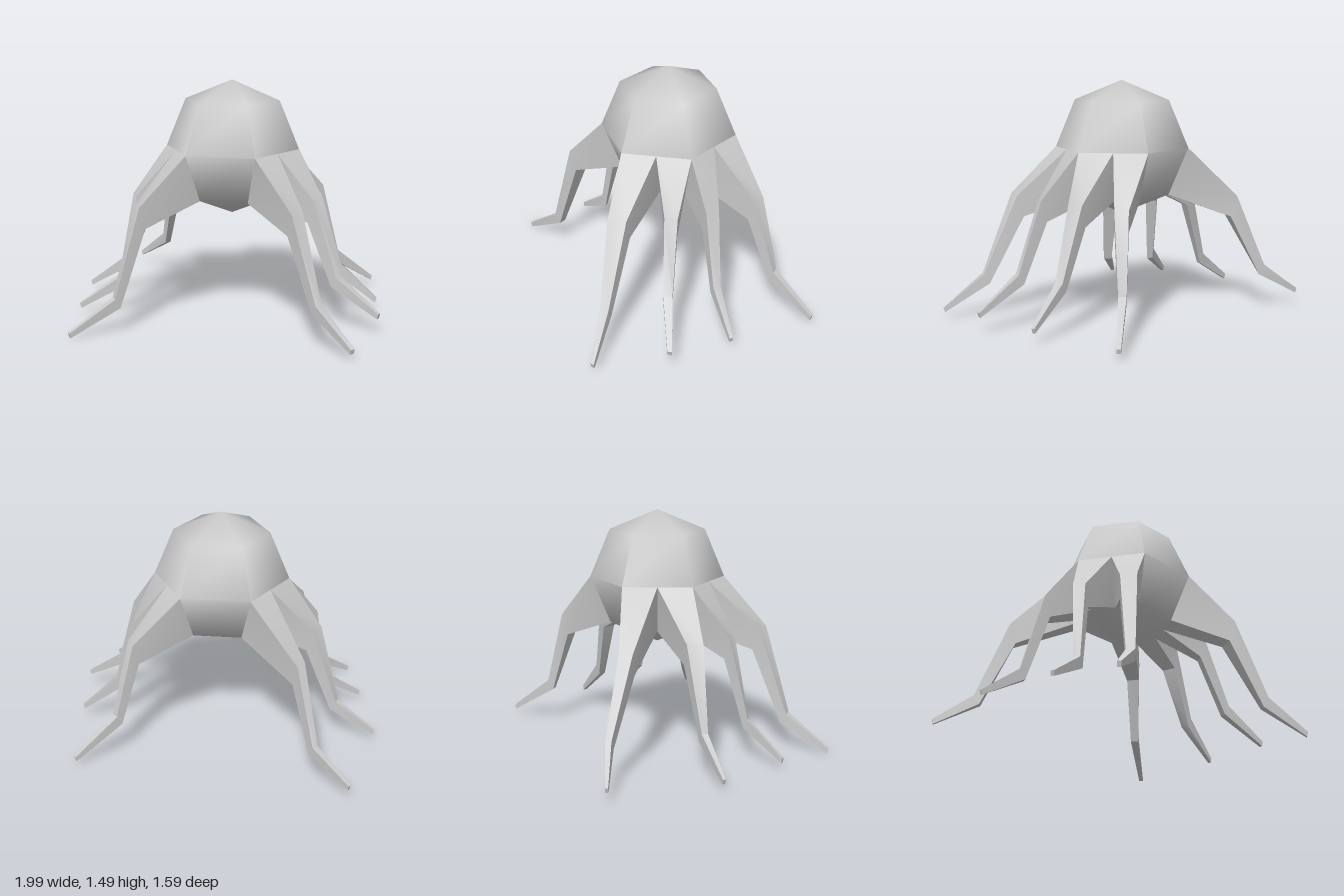
import * as THREE from 'three';
import { toCreasedNormals } from 'three/addons/utils/BufferGeometryUtils.js';

const CX = 0.02, CY = 1.065, CZ = 0.022, R = 0.425, S = Math.SQRT1_2;
const material = new THREE.MeshStandardMaterial({ color: 0xcccccc });

// Collects polygons (counter-clockwise from outside) into a mesh
function buildMesh(name, polygons, crease) {
  const positions = [];
  for (const p of polygons)
    for (let i = 1; i < p.length - 1; i++) positions.push(...p[0], ...p[i], ...p[i + 1]);
  const geometry = new THREE.BufferGeometry();
  geometry.setAttribute('position', new THREE.Float32BufferAttribute(positions, 3));
  geometry.computeVertexNormals();
  const mesh = new THREE.Mesh(toCreasedNormals(geometry, crease), material);
  mesh.name = name;
  return mesh;
}

// Point on a hexagonal ring; half steps are the middles of its edges
function ringPoint(step, scale, y) {
  const corner = (k) => [Math.cos(k * Math.PI / 3), Math.sin(k * Math.PI / 3)];
  const a = corner(Math.floor(step)), b = corner(Math.ceil(step));
  return [CX + R * scale * (a[0] + b[0]) / 2, y, CZ + R * scale * (a[1] + b[1]) / 2];
}
const upper = (k) => ringPoint(k, S, CY + R * S);
const middle = (k) => ringPoint(k, 1, CY);
const lower = (k) => ringPoint(k, S, CY - R * S);

// Six-sided dome, open where the legs grow out of the sides
function makeBody() {
  const top = [CX, CY + R, CZ], bottom = [CX, CY - R, CZ], faces = [];
  for (let k = 0; k < 6; k++) {
    faces.push([top, upper(k + 1), upper(k)]);
    faces.push([upper(k), upper(k + 1), middle(k + 1), middle(k)]);
    faces.push([bottom, lower(k), lower(k + 1)]);
    if (k === 1 || k === 4) faces.push([middle(k), middle(k + 1), lower(k + 1), lower(k)]);
  }
  return buildMesh('body', faces, 1.2);
}

// Each station: front edge x, z, back edge x, z, and height of the upper side.
const LEGS = [
  { name: 'leftFrontLeg', side: 1, root: 1, stations: [
    [0.48, 0.555, 0.53, 0.455, 0.775], [0.64, 0.665, 0.67, 0.62, 0.27], [0.86, 0.79, 0.88, 0.775, 0.07]] },
  { name: 'leftFrontMiddleLeg', side: 1, root: 0.5, stations: [
    [0.57, 0.235, 0.62, 0.17, 0.78], [0.72, 0.295, 0.745, 0.245, 0.33], [0.985, 0.36, 0.995, 0.335, 0.135]] },
  { name: 'leftBackMiddleLeg', side: 1, root: 0, stations: [
    [0.59, -0.02, 0.57, -0.11, 0.77], [0.72, -0.025, 0.71, -0.075, 0.32], [0.95, -0.045, 0.95, -0.067, 0.1]] },
  { name: 'leftBackLeg', side: 1, root: -0.5, stations: [
    [0.56, -0.345, 0.52, -0.42, 0.765], [0.66, -0.45, 0.625, -0.485, 0.29], [0.885, -0.615, 0.87, -0.635, 0.07]] },
  { name: 'rightFrontLeg', side: -1, root: 1, stations: [
    [-0.44, 0.55, -0.49, 0.46, 0.77], [-0.57, 0.65, -0.6, 0.605, 0.22], [-0.82, 0.78, -0.835, 0.765, 0.032]] },
  { name: 'rightFrontMiddleLeg', side: -1, root: 0.5, stations: [
    [-0.55, 0.235, -0.59, 0.17, 0.77], [-0.635, 0.29, -0.665, 0.265, 0.26], [-0.9, 0.365, -0.91, 0.348, 0.075]] },
  { name: 'rightBackMiddleLeg', side: -1, root: 0, stations: [
    [-0.62, -0.035, -0.57, -0.12, 0.765], [-0.75, -0.08, -0.735, -0.115, 0.26], [-0.995, -0.115, -0.995, -0.135, 0.07]] },
  { name: 'rightBackLeg', side: -1, root: -0.5, stations: [
    [-0.53, -0.46, -0.49, -0.53, 0.74], [-0.63, -0.655, -0.6, -0.68, 0.28], [-0.835, -0.785, -0.825, -0.8, 0.1]] },
];
const DROP = [0.135, 0.06, 0.03];   // thickness at knee, ankle and tip
const INSET = [0.04, 0.035, 0.008]; // how far the underside sits inward

// Four-sided tapering leg, lofted from the root to the tip
function makeLeg({ name, side, root, stations }) {
  const step = (k) => (side > 0 ? k : 3 - k);
  const f = step(root), b = step(root - 0.5);
  const sections = [[middle(f), middle(b), lower(f), lower(b)]];
  // The lower ring's edge middles follow the same hexagon
  sections[0] = [middle(f), middle(b), lower(b), lower(f)];
  stations.forEach(([fx, fz, bx, bz, y], i) => {
    const dx = (fx + bx) / 2 - CX, dz = (fz + bz) / 2 - CZ;
    const k = INSET[i] / Math.hypot(dx, dz);
    const under = (x, z) => [x - dx * k, y - DROP[i], z - dz * k];
    sections.push([[fx, y, fz], [bx, y, bz], under(bx, bz), under(fx, fz)]);
  });
  const faces = [];
  for (let i = 0; i < sections.length - 1; i++) {
    const p = sections[i], q = sections[i + 1];
    for (let j = 0; j < 4; j++) {
      const n = (j + 1) % 4;
      faces.push([p[j], q[j], q[n], p[n]]);
    }
  }
  faces.push([...sections[sections.length - 1]].reverse());
  if (side < 0) faces.forEach((face) => face.reverse());
  return buildMesh(name, faces, 0.6);
}

export function createModel() {
  const group = new THREE.Group();
  group.name = 'eightLeggedCreature';
  group.add(makeBody(), ...LEGS.map(makeLeg));
  return group;
}
